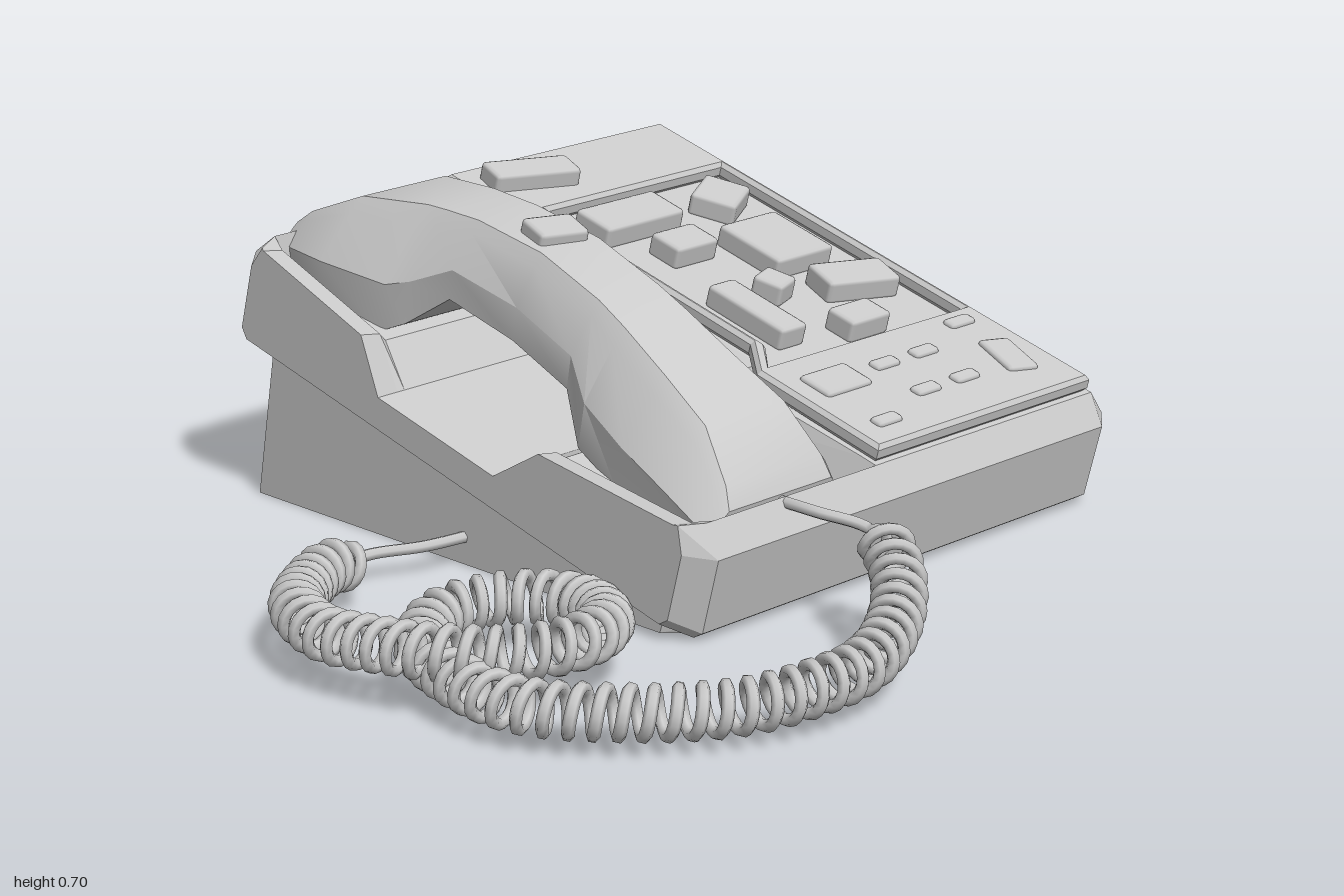
import * as THREE from 'three';
import { toCreasedNormals } from 'three/addons/utils/BufferGeometryUtils.js';
import { RoundedBoxGeometry } from 'three/addons/geometries/RoundedBoxGeometry.js';

const grey = new THREE.MeshStandardMaterial({ color: 0xcccccc });
const TILT = 0.255;          // slope of the body, high on -x
const LENGTH = 1.43;         // body length along the slope

function addMesh(parent, name, geometry) {
  const mesh = new THREE.Mesh(geometry, grey);
  mesh.name = name;
  parent.add(mesh);
  return mesh;
}

// Closed skin through counter-clockwise 2D rings; place(a, b, i) puts a ring point in space
function loft(rings, place) {
  const pos = [];
  const put = (i, j) => pos.push(...place(...rings[i][j], i));
  const n = rings[0].length;
  for (let i = 0; i < rings.length - 1; i++) {
    for (let j = 0; j < n; j++) {
      const k = (j + 1) % n;
      put(i, j); put(i, k); put(i + 1, k);
      put(i, j); put(i + 1, k); put(i + 1, j);
    }
  }
  for (const end of [0, rings.length - 1]) {
    const contour = rings[end].map(([a, b]) => new THREE.Vector2(a, b));
    for (const f of THREE.ShapeUtils.triangulateShape(contour, [])) {
      (end === 0 ? [...f].reverse() : f).forEach((j) => put(end, j));
    }
  }
  const g = new THREE.BufferGeometry();
  g.setAttribute('position', new THREE.Float32BufferAttribute(pos, 3));
  g.computeVertexNormals();
  return g;
}

// Body: lengthwise profiles stacked from back to front, with the cradle sunk in
function bodyGeometry() {
  // z, end inset, underside, shoulder, top, pocket floor, pocket edge, finger notch floor
  const stations = [
    [-1, 0.05, 0.02, 0.185, 0.19, 0.19, 0.19, 0.19],
    [-0.94, 0, 0, 0.19, 0.25, 0.25, 0.25, 0.25],
    [-0.33, 0, 0, 0.19, 0.25, 0.25, 0.25, 0.25],
    [-0.24, 0, 0, 0.19, 0.25, 0.25, 0.24, 0.19],
    [-0.21, 0, 0, 0.19, 0.25, 0.17, 0.17, 0.16],
    [-0.13, 0, 0, 0.19, 0.25, 0.17, 0.17, 0.09],
    [0.24, 0, 0, 0.19, 0.25, 0.17, 0.17, 0.09],
    [0.26, 0, 0, 0.19, 0.25, 0.23, 0.19, 0.09],
    [0.315, 0.05, 0.02, 0.19, 0.245, 0.24, 0.2, 0.09],
  ];
  const rings = stations.map(([, e, low, s, t, p, q, n]) => [
    [e + 0.02, low], [LENGTH - e - 0.02, low], [LENGTH - e, low + 0.02], [LENGTH - e, s],
    [LENGTH - 0.05 - e / 2, t], [1.34, p], [0.96, q], [0.85, n],
    [0.49, n], [0.41, q], [0.08, p], [0.05 + e / 2, t], [e, s], [e, low + 0.02],
  ]);
  return loft(rings, (u, v, i) => [u, v, stations[i][0]]);
}

// Handset: cross-sections from earpiece to mouthpiece
function handsetGeometry() {
  // u, bottom, top, half width below, half width on top
  const stations = [
    [0.025, 0.19, 0.255, 0.17, 0.14], [0.065, 0.17, 0.3, 0.19, 0.14], [0.188, 0.16, 0.39, 0.212, 0.12],
    [0.36, 0.16, 0.445, 0.185, 0.095], [0.413, 0.2, 0.456, 0.165, 0.09],
    [0.502, 0.296, 0.473, 0.138, 0.085], [0.69, 0.29, 0.486, 0.128, 0.083],
    [0.871, 0.27, 0.465, 0.138, 0.085], [0.955, 0.18, 0.446, 0.165, 0.09],
    [1.093, 0.16, 0.408, 0.185, 0.1], [1.236, 0.16, 0.368, 0.205, 0.115],
    [1.34, 0.16, 0.29, 0.2, 0.14], [1.37, 0.19, 0.25, 0.18, 0.15],
  ];
  const rings = stations.map(([, b, t, wb, wt]) => {
    const mid = b + 0.4 * (t - b), shoulder = b + 0.85 * (t - b), ws = wt + 0.3 * (wb - wt);
    const half = [[b, wb * 0.95], [mid, wb], [shoulder, ws], [t, wt]];
    return [...half.map(([v, w]) => [v, -w]), ...half.reverse()];
  });
  return toCreasedNormals(loft(rings, (v, z, i) => [stations[i][0], v, z + 0.035]), 0.5);
}

// Wedge foot: chamfered plan whose top follows the underside of the body
function footGeometry() {
  const c = 0.05, z0 = -0.95, z1 = 0.28;
  const plan = (x0, x1) => [
    [z0 + c, x0], [z1 - c, x0], [z1, x0 + c], [z1, x1 - c],
    [z1 - c, x1], [z0 + c, x1], [z0, x1 - c], [z0, x0 + c],
  ];
  const under = (x) => 0.37 - Math.tan(TILT) * (x + 0.96);
  return loft([plan(-0.95, 0.38), plan(-0.89, 0.39)], (z, x, i) => [x, i ? under(x) : 0, z]);
}

const toU = (x) => (x + 0.89) / 0.968;   // plan x to position along the body
const outline = (points, Type) => new Type(points.map(([x, z]) => new THREE.Vector2(toU(x), -z)));

// Raised panel with two sunken key fields
function panelGeometry() {
  const shape = outline([
    [-0.86, -0.25], [-0.55, -0.25], [-0.46, -0.33], [0, -0.33], [0.1, -0.245],
    [0.44, -0.245], [0.44, -0.93], [-0.86, -0.93],
  ], THREE.Shape);
  shape.holes.push(
    outline([[-0.64, -0.91], [0.095, -0.91], [0.095, -0.285], [0.025, -0.35], [-0.64, -0.35]], THREE.Path),
    outline([[0.115, -0.91], [0.425, -0.91], [0.425, -0.28], [0.115, -0.28]], THREE.Path),
  );
  const g = new THREE.ExtrudeGeometry(shape, {
    depth: 0.02, bevelThickness: 0.01, bevelSize: 0.008, bevelOffset: -0.008, bevelSegments: 1,
  });
  return g.rotateX(-Math.PI / 2).translate(0, 0.26, 0);
}

// Coiled cord: a centre line with straight leads and a helix wound around the rest
class CordCurve extends THREE.Curve {
  constructor(path, turns, radius, leadIn, leadOut) {
    super();
    Object.assign(this, { path, turns, radius, leadIn, leadOut });
  }
  getPoint(t, target = new THREE.Vector3()) {
    const p = this.path.getPointAt(t), dir = this.path.getTangentAt(t);
    const side = new THREE.Vector3().crossVectors(dir, new THREE.Vector3(0, 1, 0)).normalize();
    const up = new THREE.Vector3().crossVectors(side, dir);
    const { leadIn, leadOut } = this;
    const a = THREE.MathUtils.smoothstep(t, leadIn, leadIn + 0.012)
      * (1 - THREE.MathUtils.smoothstep(t, 1 - leadOut - 0.012, 1 - leadOut)) * this.radius;
    const s = THREE.MathUtils.clamp((t - leadIn) / (1 - leadIn - leadOut), 0, 1);
    const angle = s * this.turns * Math.PI * 2;
    return target.copy(p).addScaledVector(side, a * Math.cos(angle)).addScaledVector(up, a * Math.sin(angle));
  }
}

function cordGeometry() {
  const path = new THREE.CatmullRomCurve3([
    [0.4, 0.24, 0.03], [0.52, 0.24, 0.03], [0.63, 0.22, -0.01], [0.73, 0.18, 0.03], [0.83, 0.13, 0.14],
    [0.9, 0.1, 0.3], [0.9, 0.09, 0.45], [0.85, 0.08, 0.6], [0.72, 0.08, 0.77], [0.55, 0.08, 0.88],
    [0.36, 0.08, 0.87], [0.2, 0.08, 0.8], [0.12, 0.09, 0.67], [0.17, 0.1, 0.53], [0.3, 0.11, 0.47],
    [0.43, 0.12, 0.53], [0.49, 0.13, 0.66], [0.45, 0.13, 0.79], [0.34, 0.13, 0.89], [0.2, 0.12, 0.93],
    [0.08, 0.11, 0.94], [-0.06, 0.11, 0.89], [-0.17, 0.1, 0.77], [-0.22, 0.1, 0.67], [-0.24, 0.08, 0.57],
    [-0.3, 0.06, 0.55], [-0.3, 0.06, 0.48], [-0.26, 0.06, 0.38], [-0.24, 0.06, 0.26],
  ].map((p) => new THREE.Vector3(...p)), false, 'centripetal');
  path.arcLengthDivisions = 800;
  const curve = new CordCurve(path, 74, 0.045, 0.06, 0.095);
  curve.arcLengthDivisions = 4000;
  return new THREE.TubeGeometry(curve, 1300, 0.013, 6, false);
}

export function createModel() {
  const phone = new THREE.Group();
  phone.name = 'deskTelephone';

  addMesh(phone, 'wedgeFoot', footGeometry());
  addMesh(phone, 'coiledCord', cordGeometry());

  // Everything on the sloping body shares its frame
  const body = new THREE.Group();
  body.name = 'slopingBody';
  body.position.set(-0.96, 0.36, 0);
  body.rotation.z = -TILT;
  phone.add(body);

  addMesh(body, 'bodyShell', bodyGeometry());
  addMesh(body, 'keyPanel', panelGeometry());
  addMesh(body, 'handset', handsetGeometry());

  // Keys: x, z, width, depth, turn, base height
  const keys = [
    [-0.757, -0.407, 0.08, 0.22, -0.23, 0.275],
    [-0.53, -0.79, 0.11, 0.13, 0.5], [-0.315, -0.745, 0.19, 0.18, 0], [-0.12, -0.79, 0.1, 0.19, -0.25],
    [-0.545, -0.515, 0.11, 0.24, 0], [-0.4, -0.54, 0.09, 0.13, 0], [-0.175, -0.59, 0.075, 0.075, 0.3],
    [0.016, -0.655, 0.08, 0.125, 0], [-0.1, -0.455, 0.23, 0.08, 0], [0.296, -0.825, 0.13, 0.08, -0.27],
    [0.143, -0.84, 0.035, 0.08, 0], [0.206, -0.37, 0.09, 0.14, 0], [0.37, -0.345, 0.035, 0.075, 0],
  ];
  for (const x of [0.2, 0.317]) for (const z of [-0.655, -0.53]) keys.push([x, z, 0.035, 0.075, 0]);
  keys.forEach(([x, z, w, d, turn, base = 0.245]) => {
    const key = addMesh(body, 'key', new RoundedBoxGeometry(w, 0.055, d, 1, 0.01));
    key.position.set(toU(x), base + 0.0275, z);
    key.rotation.y = turn;
  });

  // Button on the back of the handset
  const button = addMesh(body, 'handsetButton', new RoundedBoxGeometry(0.085, 0.04, 0.12, 1, 0.01));
  button.position.set(0.635, 0.49, 0.03);
  button.rotation.y = -0.2;

  return phone;
}
